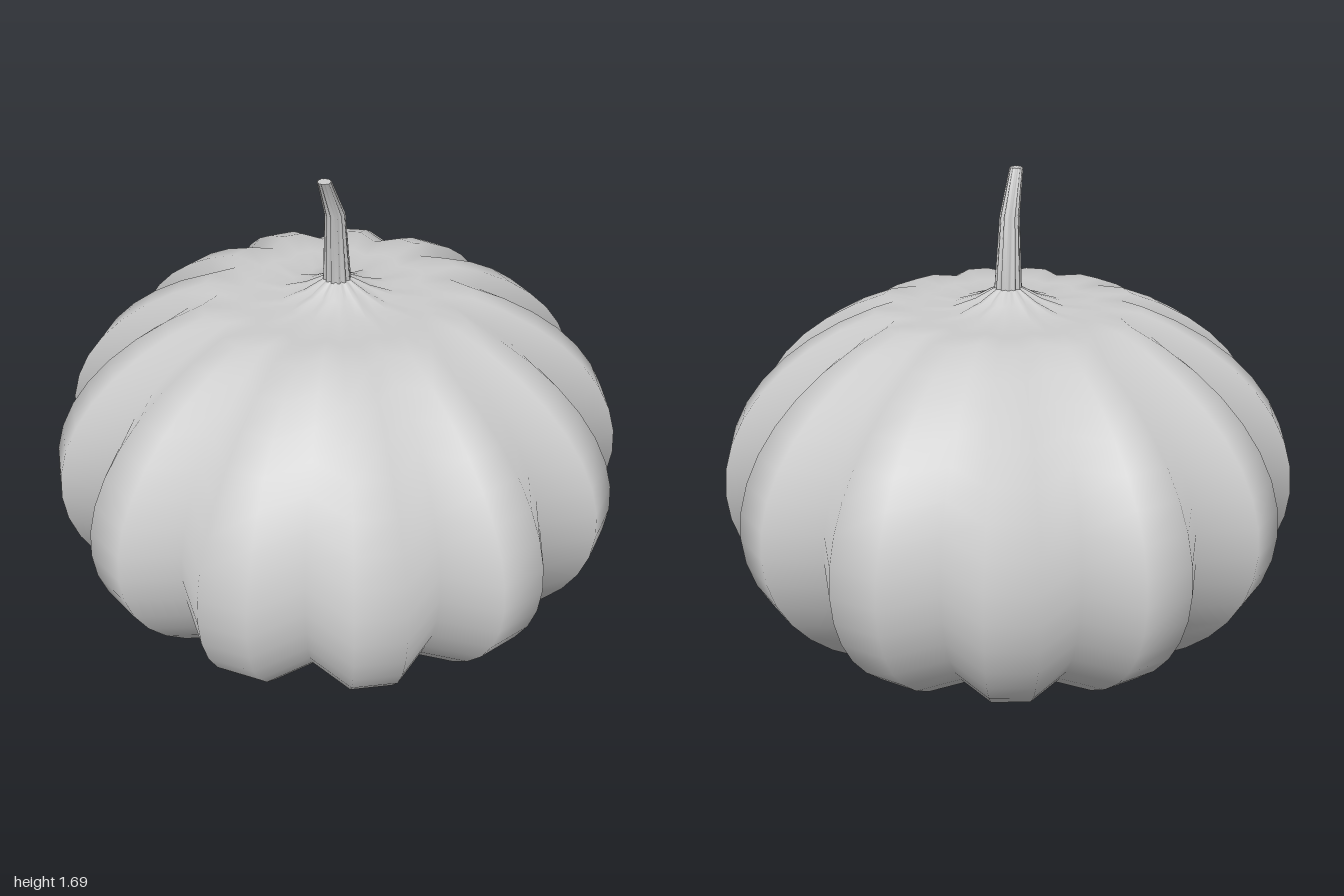
import * as THREE from 'three';

const LOBES = 13;
const SEGMENTS = LOBES * 3;            // valley, ridge, ridge for every lobe
const START = -11.5 * Math.PI / 180;   // angle of the first valley, from +z toward +x

// Skin a stack of ribbed rings { r, y, z, valley }, listed from bottom to top.
function loft(rings) {
  const positions = [], index = [];
  for (const { r, y, z = 0, valley = 1 } of rings) {
    for (let j = 0; j < SEGMENTS; j++) {
      const a = START + (j / SEGMENTS) * Math.PI * 2;
      const radius = j % 3 === 0 ? r * valley : r;
      positions.push(Math.sin(a) * radius, y, Math.cos(a) * radius + z);
    }
  }
  for (let i = 0; i < rings.length - 1; i++) {
    for (let j = 0; j < SEGMENTS; j++) {
      const k = (j + 1) % SEGMENTS;
      const a = i * SEGMENTS + j, b = i * SEGMENTS + k;
      index.push(a, b, b + SEGMENTS, a, b + SEGMENTS, a + SEGMENTS);
    }
  }
  const geometry = new THREE.BufferGeometry();
  geometry.setAttribute('position', new THREE.Float32BufferAttribute(positions, 3));
  geometry.setIndex(index);
  geometry.computeVertexNormals();
  return geometry;
}

export function createModel() {
  const skin = new THREE.MeshStandardMaterial({ color: 0xcccccc });
  skin.name = 'pale grey';
  const group = new THREE.Group();
  group.name = 'pumpkin';

  // Body: flat underside, truncated ellipsoid, flat crown rising to the stem
  const half = 0.62, limit = Math.acos(0.455), steps = 16;
  const rings = [{ r: 0.001, y: 0 }, { r: 0.2, y: 0, valley: 0.95 }];
  for (let i = 0; i <= steps; i++) {
    const t = limit * (2 * i / steps - 1);
    rings.push({ r: Math.cos(t), y: half + half * Math.sin(t) / Math.sin(limit), valley: 0.87 });
  }
  rings.push(
    { r: 0.32, y: 1.238, valley: 0.9 },
    { r: 0.19, y: 1.24, valley: 0.85 },
    { r: 0.11, y: 1.268, valley: 0.82 },
    { r: 0.045, y: 1.305, valley: 0.85 },
  );
  const body = new THREE.Mesh(loft(rings), skin);
  body.name = 'ribbedBody';

  // Stem: ribbed, tapering, bent toward the front, with a flat cut end
  const stem = new THREE.Mesh(loft([
    { r: 0.047, y: 1.295, valley: 0.8 },
    { r: 0.034, y: 1.545, z: 0.018, valley: 0.8 },
    { r: 0.023, y: 1.69, z: 0.102, valley: 0.85 },
  ]), skin);
  stem.name = 'stem';
  const cut = new THREE.Mesh(loft([
    { r: 0.023, y: 1.69, z: 0.102, valley: 0.85 },
    { r: 0.0005, y: 1.69, z: 0.102 },
  ]), skin);
  cut.name = 'stemCutEnd';

  group.add(body, stem, cut);
  return group;
}
